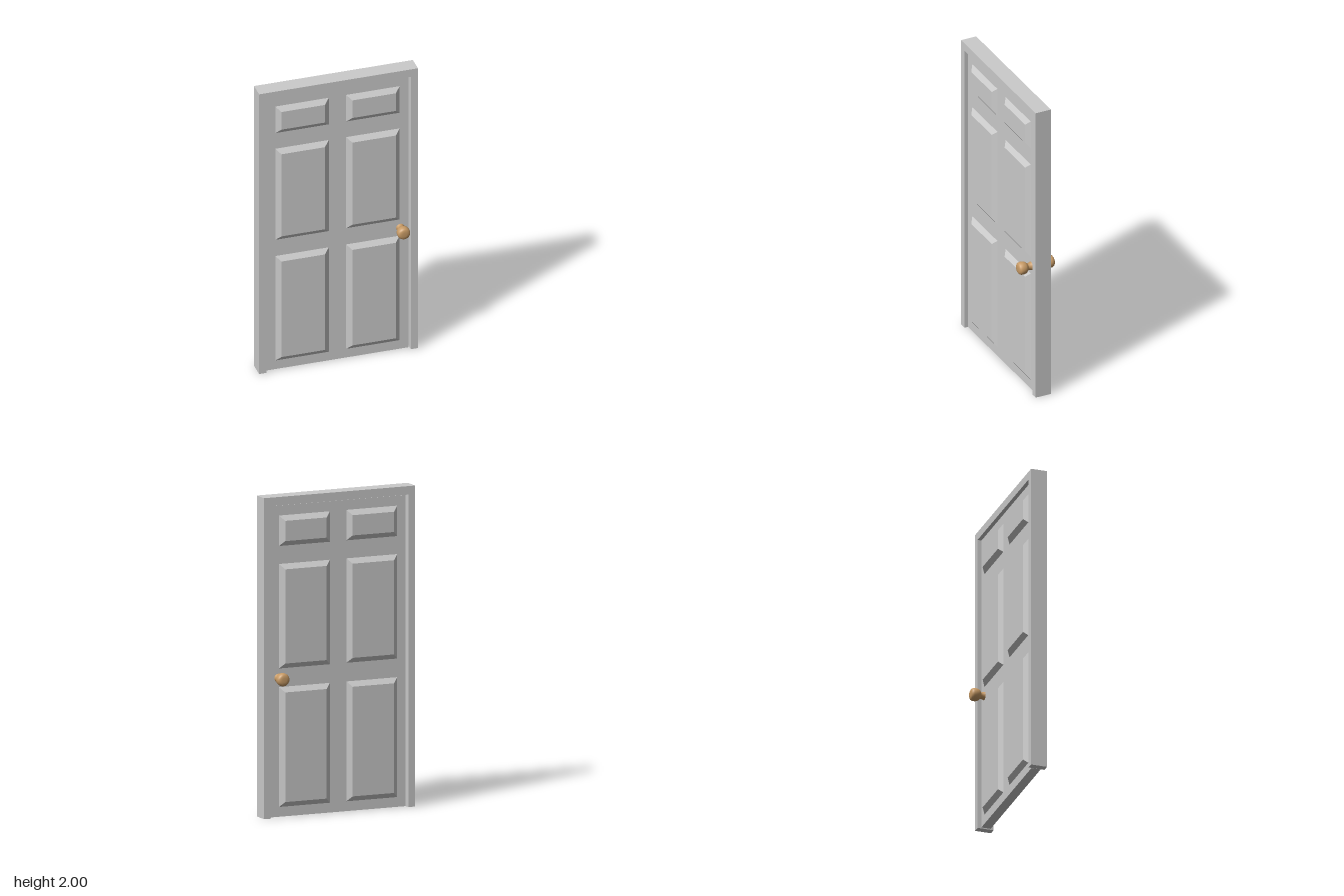
import * as THREE from 'three';

const grey = new THREE.MeshStandardMaterial({ color: 0xcccccc, flatShading: true });
const brass = new THREE.MeshStandardMaterial({ color: 0xc89b66 });

const FRAME_Z = 0.052; // half depth of the frame
const LEAF_Z = 0.03;   // half thickness of the leaf
const PANEL_Z = 0.0535; // front of the raised panels
const BEVEL = 0.032;

function add(parent, name, geometry, material) {
  const mesh = new THREE.Mesh(geometry, material);
  mesh.name = name;
  parent.add(mesh);
  return mesh;
}

// Box whose front face is inset by the bevel, standing on z = LEAF_Z
function raisedPanel(width, height) {
  const depth = PANEL_Z - LEAF_Z;
  const geometry = new THREE.BoxGeometry(width, height, depth);
  const p = geometry.attributes.position;
  for (let i = 0; i < p.count; i++) {
    if (p.getZ(i) > 0) {
      p.setX(i, p.getX(i) - Math.sign(p.getX(i)) * BEVEL);
      p.setY(i, p.getY(i) - Math.sign(p.getY(i)) * BEVEL);
    }
  }
  geometry.translate(0, 0, LEAF_Z + depth / 2);
  geometry.computeVertexNormals();
  return geometry;
}

// Round knob with a flared neck, turned to point along +z
function knobGeometry() {
  const half = [
    [0.03, 0.027], [0.04, 0.023], [0.053, 0.02], [0.059, 0.024], [0.066, 0.033],
    [0.076, 0.0385], [0.09, 0.041], [0.104, 0.0405], [0.114, 0.036], [0.12, 0.027],
    [0.122, 0.014], [0.122, 0],
  ].map(([z, r]) => new THREE.Vector2(r, z));
  return new THREE.LatheGeometry(half, 28).rotateX(Math.PI / 2);
}

export function createModel() {
  const door = new THREE.Group();
  door.name = 'door';

  // Frame: one arch-shaped piece, open at the floor
  const outline = new THREE.Shape([
    [-0.511, 0], [-0.465, 0], [-0.465, 1.947], [0.465, 1.947],
    [0.465, 0], [0.511, 0], [0.511, 2], [-0.511, 2],
  ].map(([x, y]) => new THREE.Vector2(x, y)));
  const frame = new THREE.ExtrudeGeometry(outline, { depth: 2 * FRAME_Z, bevelEnabled: false });
  add(door, 'frame', frame.translate(0, 0, -FRAME_Z), grey);

  // Leaf, with a narrow gap to the frame
  const leaf = new THREE.Group();
  leaf.name = 'leaf';
  door.add(leaf);
  const slab = new THREE.BoxGeometry(0.914, 1.939, 2 * LEAF_Z);
  add(leaf, 'slab', slab.translate(0, 0.003 + 1.939 / 2, 0), grey);

  // Six raised panels and a knob on each face
  const rows = [[0.064, 0.811], [0.927, 1.578], [1.69, 1.88]];
  for (const face of ['front', 'back']) {
    const side = new THREE.Group();
    side.name = face + 'Side';
    leaf.add(side);
    if (face === 'back') side.rotation.y = Math.PI;
    for (const [low, high] of rows) {
      for (const x of [-0.228, 0.228]) {
        add(side, 'panel', raisedPanel(0.344, high - low), grey).position.set(x, (low + high) / 2, 0);
      }
    }
    add(side, 'knob', knobGeometry(), brass).position.set(face === 'front' ? 0.404 : -0.404, 0.868, 0);
  }
  return door;
}
